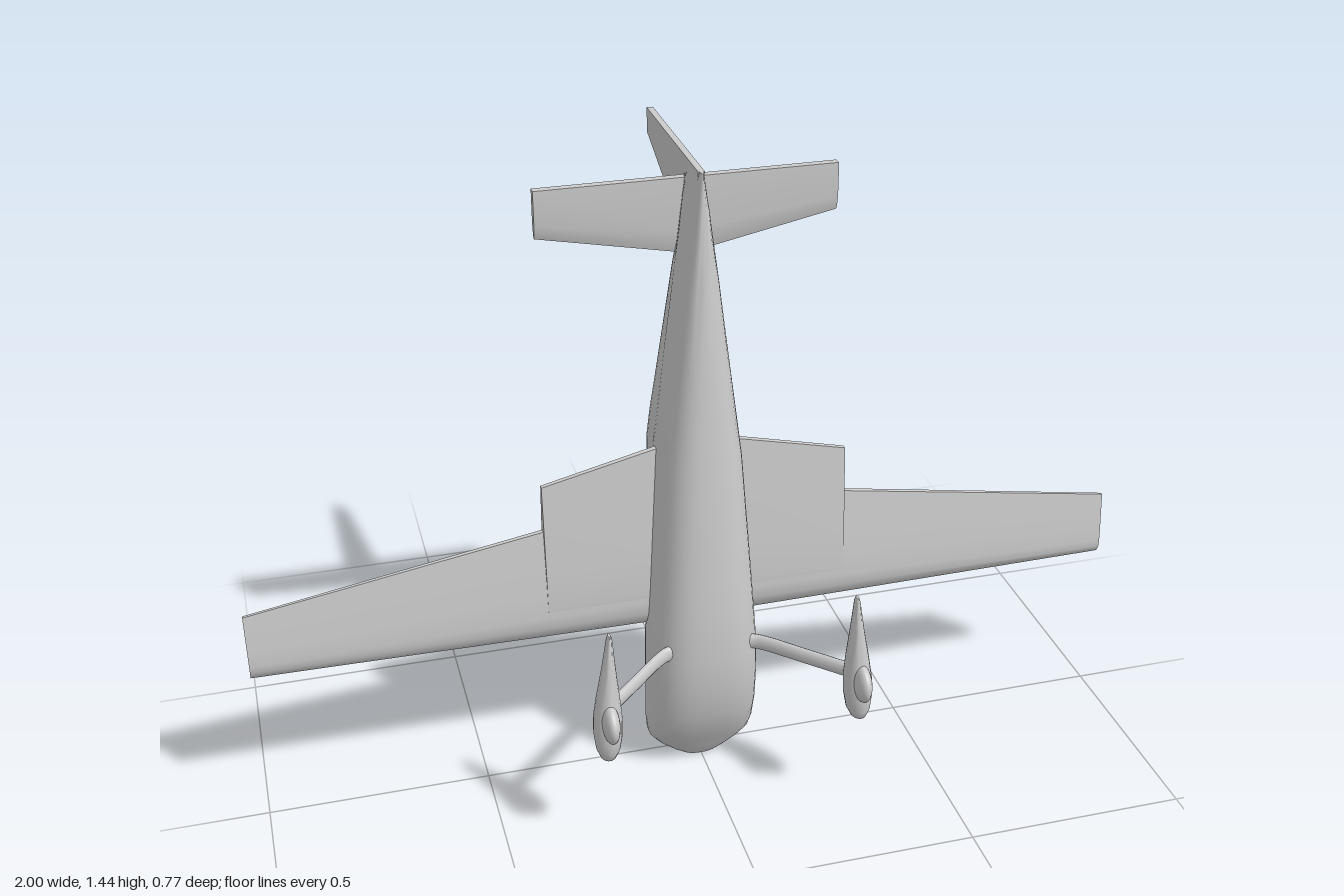
import * as THREE from 'three';
import { toCreasedNormals } from 'three/addons/utils/BufferGeometryUtils.js';

const grey = new THREE.MeshStandardMaterial({ color: 0xcccccc });

function part(name, geometry) {
  const mesh = new THREE.Mesh(geometry, grey);
  mesh.name = name;
  return mesh;
}

// Skin closed rings of points, counter-clockwise about the loft direction, and cap both ends
function loft(rings, crease = 0.7) {
  const n = rings[0].length, pos = rings.flat(2), index = [];
  for (let s = 0; s < rings.length - 1; s++) {
    for (let i = 0; i < n; i++) {
      const a = s * n + i, b = s * n + (i + 1) % n;
      index.push(a, b, b + n, a, b + n, a + n);
    }
  }
  [rings[0], rings[rings.length - 1]].forEach((ring, end) => {
    const c = pos.length / 3, base = end ? (rings.length - 1) * n : 0;
    for (let k = 0; k < 3; k++) pos.push(ring.reduce((sum, p) => sum + p[k], 0) / n);
    for (let i = 0; i < n; i++) {
      const a = base + i, b = base + (i + 1) % n;
      index.push(c, end ? a : b, end ? b : a);
    }
  });
  const g = new THREE.BufferGeometry();
  g.setAttribute('position', new THREE.Float32BufferAttribute(pos, 3));
  g.setIndex(index);
  return toCreasedNormals(g, crease);
}

// Body lofted along y from stations [y, half width, belly z, top z, x centre]
function body(stations, power = 2, n = 36) {
  const bend = (v) => Math.sign(v) * Math.abs(v) ** (2 / power);
  return loft(stations.map(([y, w, z1, z0, x = 0]) =>
    Array.from({ length: n }, (_, i) => {
      const t = (i / n) * Math.PI * 2;
      return [x + w * bend(Math.sin(t)), y, (z1 + z0) / 2 + ((z1 - z0) / 2) * bend(Math.cos(t))];
    })));
}

// Foil profile as [chord fraction, half thickness fraction], leading edge first
const foil = [[0, 0.3], [0.04, 0.65], [0.12, 0.95], [0.22, 1], [0.45, 0.8], [0.75, 0.48], [1, 0.2]];

// Full-span surface from half stations [x, leading y, trailing y, half thickness], root first
function surface(half, z, profile = foil) {
  const mirrored = half.slice().reverse().map(([x, ...r]) => [-x, ...r]);
  return loft([...mirrored, ...half].map(([x, y0, y1, h]) => {
    const side = (sign) => profile.map(([c, t]) => [x, y0 + (y1 - y0) * c, z + sign * h * t]);
    return [...side(1).reverse(), ...side(-1)];
  }), 0.5);
}

export function createModel() {
  const plane = new THREE.Group();
  plane.name = 'aeroplane';

  // Fuselage, nose down with the belly facing forward
  plane.add(part('fuselage', body([
    [0, 0.05, 0.045, -0.055], [0.015, 0.072, 0.055, -0.056], [0.04, 0.1, 0.07, -0.058],
    [0.065, 0.12, 0.083, -0.06], [0.1, 0.124, 0.105, -0.063], [0.17, 0.125, 0.134, -0.068],
    [0.25, 0.125, 0.148, -0.075], [0.33, 0.123, 0.155, -0.082], [0.45, 0.115, 0.149, -0.093],
    [0.6, 0.105, 0.137, -0.102], [0.8, 0.091, 0.118, -0.105], [1, 0.066, 0.098, -0.095],
    [1.2, 0.041, 0.079, -0.08], [1.36, 0.019, 0.063, -0.07], [1.44, 0.005, 0.055, -0.06],
  ], 2.6)));

  // Bubble canopy fairing into the rear deck
  plane.add(part('canopy', body([
    [0.56, 0.03, 0.03, -0.098], [0.59, 0.055, 0.03, -0.112], [0.63, 0.075, 0.03, -0.142],
    [0.67, 0.084, 0.03, -0.163], [0.72, 0.088, 0.03, -0.175], [0.78, 0.088, 0.03, -0.177],
    [0.85, 0.081, 0.03, -0.168], [1, 0.062, 0.03, -0.141], [1.2, 0.037, 0.03, -0.105],
    [1.3, 0.02, 0.03, -0.095], [1.4, 0.01, 0.02, -0.08],
  ], 2.3)));

  // Main wing and its wider inner trailing panel
  plane.add(part('wing', surface([
    [0, 0.363, 0.69, 0.036], [0.345, 0.365, 0.635, 0.029], [1, 0.37, 0.525, 0.016],
  ], -0.006)));
  plane.add(part('wingRootPanel', surface([
    [0, 0.363, 0.827, 0.036], [0.345, 0.365, 0.745, 0.028],
  ], -0.006)));

  // Tailplane
  plane.add(part('tailplane', surface([
    [0, 1.225, 1.395, 0.01], [0.325, 1.29, 1.395, 0.01],
  ], -0.066, [[0, 0.15], [0.12, 0.65], [0.3, 1], [1, 0.9]])));

  // Fin with a curved fillet at its root
  const outline = new THREE.Shape();
  outline.moveTo(-0.04, 1.44);
  outline.lineTo(0, 1.2);
  outline.lineTo(0.103, 1.2);
  outline.quadraticCurveTo(0.122, 1.28, 0.175, 1.303);
  outline.lineTo(0.382, 1.385);
  outline.lineTo(0.382, 1.44);
  const finGeometry = new THREE.ExtrudeGeometry(outline, { depth: 0.014, bevelEnabled: false });
  finGeometry.translate(0, 0, -0.007).rotateY(Math.PI / 2);
  plane.add(part('fin', finGeometry));

  // Fixed landing gear and nose inlets on both sides
  for (const [label, s] of [['left', 1], ['right', -1]]) {
    const gear = new THREE.Group();
    gear.name = label + 'LandingGear';

    const path = new THREE.CatmullRomCurve3([
      [0.06, 0.115], [0.1, 0.122], [0.125, 0.14], [0.19, 0.205], [0.275, 0.29],
    ].map(([x, z]) => new THREE.Vector3(s * x, 0, z)));
    const strut = part('strut', new THREE.TubeGeometry(path, 24, 0.01, 12));
    strut.scale.y = 1.9;
    strut.position.y = 0.35;
    gear.add(strut);

    gear.add(part('wheelFairing', body([
      [0.245, 0.007, 0.327, 0.308, s * 0.283], [0.255, 0.017, 0.342, 0.298, s * 0.283],
      [0.275, 0.026, 0.35, 0.285, s * 0.282], [0.31, 0.031, 0.353, 0.277, s * 0.281],
      [0.35, 0.031, 0.351, 0.273, s * 0.28], [0.4, 0.025, 0.343, 0.278, s * 0.278],
      [0.47, 0.015, 0.332, 0.288, s * 0.275], [0.545, 0.006, 0.322, 0.298, s * 0.272],
      [0.555, 0.003, 0.318, 0.302, s * 0.272],
    ], 2, 20)));

    const wheel = part('wheel', new THREE.SphereGeometry(0.045, 20, 14));
    wheel.scale.x = 0.42;
    wheel.position.set(s * 0.28, 0.352, 0.34);
    gear.add(wheel);
    plane.add(gear);

    // Slanted triangular inlet face
    const inlet = part(label + 'Inlet', new THREE.CylinderGeometry(0.034, 0.034, 0.012, 3));
    inlet.scale.set(0.75, 1, 1);
    inlet.rotation.z = s * -2.3;
    inlet.position.set(s * 0.084, 0.034, -0.008);
    plane.add(inlet);
  }
  return plane;
}
